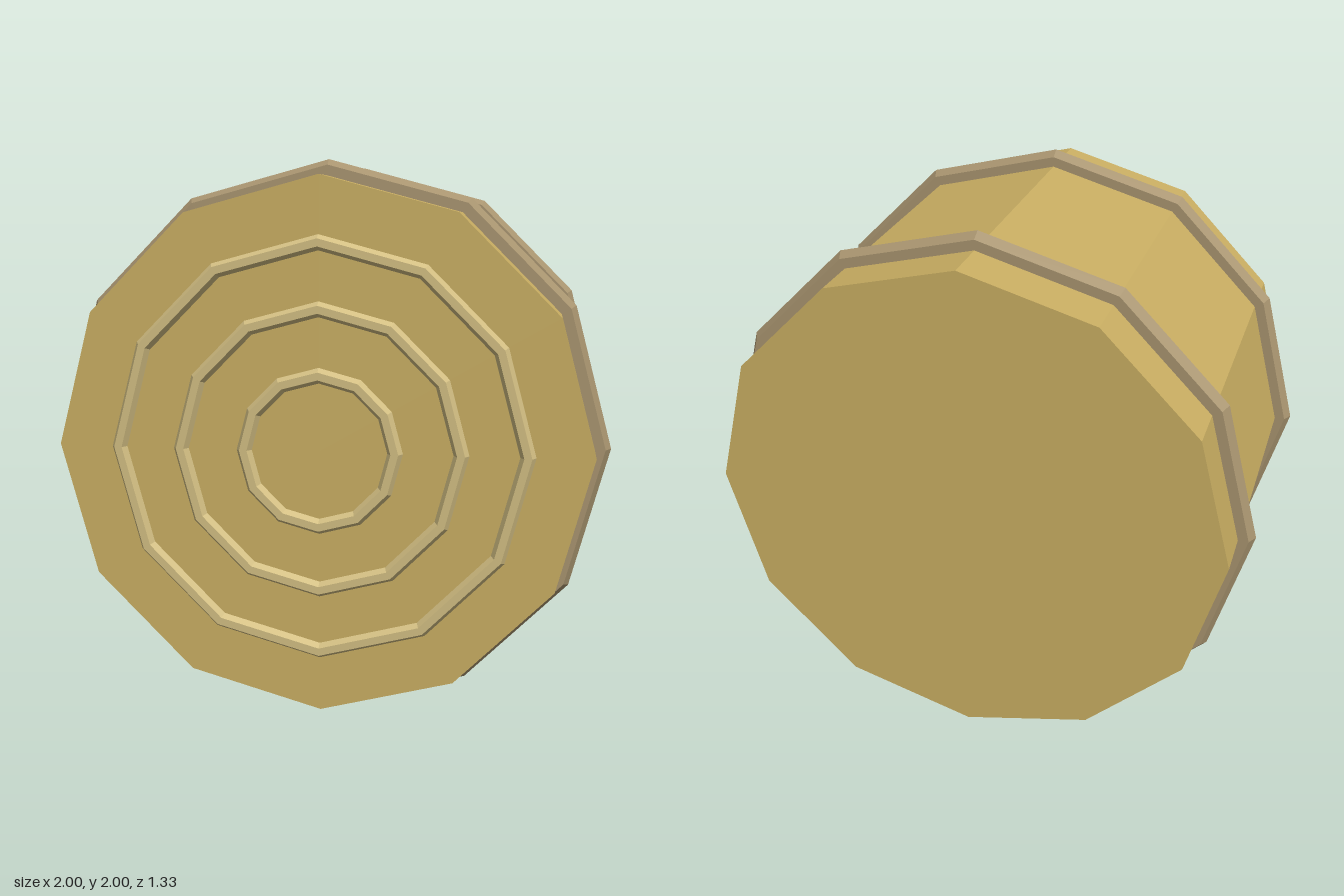
import * as THREE from 'three';

const SIDES = 12;
const CENTRE_Y = 1;

export function createModel() {
  const mat = (name, color) => {
    const m = new THREE.MeshStandardMaterial({ color, flatShading: true });
    m.name = name;
    return m;
  };
  const straw = mat('straw', 0xc9ae62);
  const twine = mat('twine', 0xa8946f);
  const paleStraw = mat('paleStraw', 0xd2be82);

  const model = new THREE.Group();
  model.name = 'roundBale';
  const add = (name, geometry, material, z) => {
    const mesh = new THREE.Mesh(geometry, material);
    mesh.name = name;
    mesh.position.set(0, CENTRE_Y, z);
    model.add(mesh);
  };
  // Faceted ring with a hexagonal section, facing +z
  const ring = (radius, tube) => new THREE.TorusGeometry(radius, tube, 6, SIDES);

  // Drum lying along z
  const drum = new THREE.CylinderGeometry(0.943, 0.943, 1.295, SIDES);
  drum.rotateX(Math.PI / 2);
  add('baleBody', drum, straw, -0.0175);

  // Two binding hoops
  add('frontHoop', ring(0.96, 0.04), twine, 0.425);
  add('backHoop', ring(0.96, 0.04), twine, -0.457);

  // Concentric rolls on the front face
  [0.265, 0.492, 0.717].forEach((radius, i) => {
    add(`rollRing${i + 1}`, ring(radius, 0.027), paleStraw, 0.642);
  });

  return model;
}
